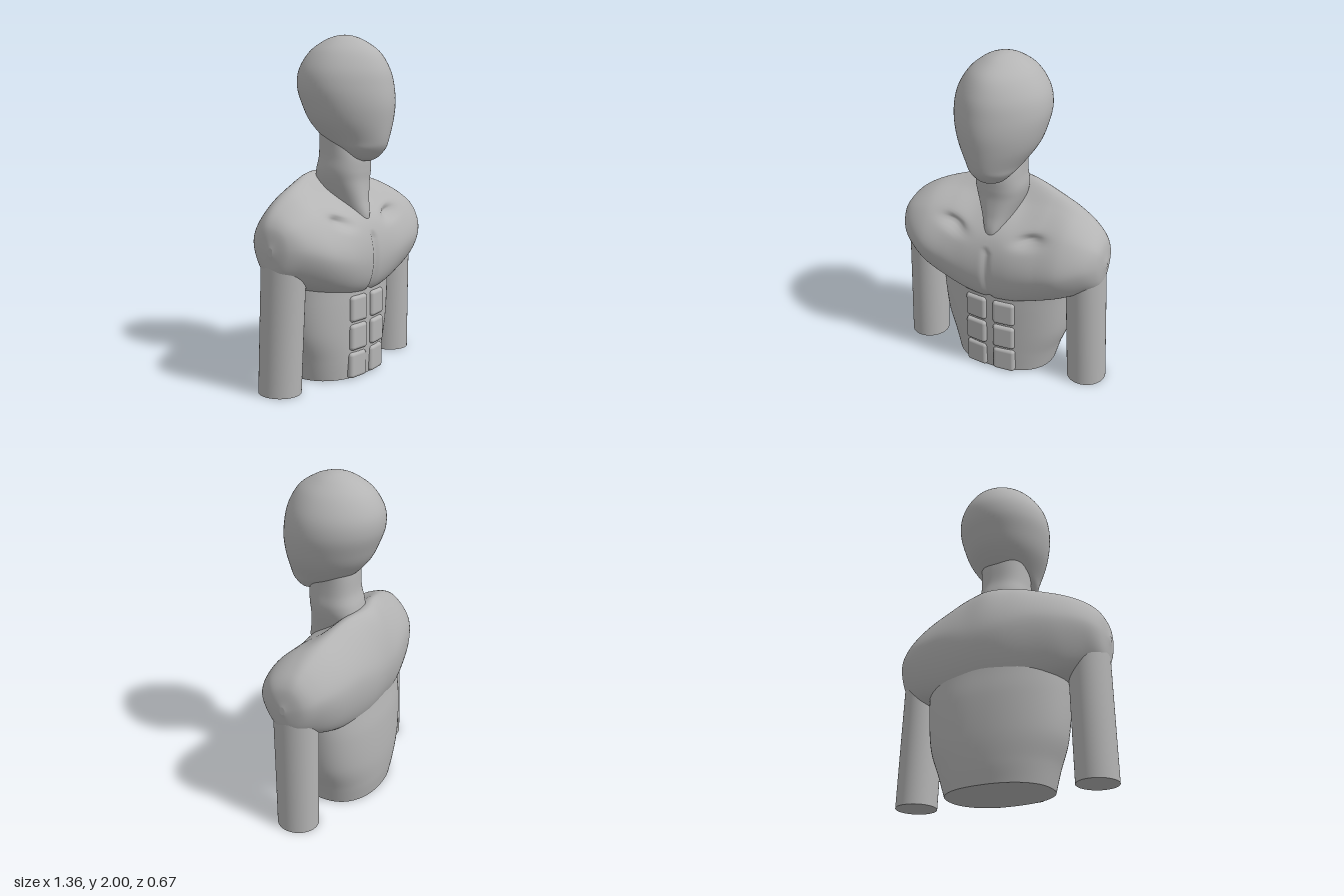
import * as THREE from 'three';
import { RoundedBoxGeometry } from 'three/addons/geometries/RoundedBoxGeometry.js';

const clay = new THREE.MeshStandardMaterial({ color: 0xb4b4b4 });
clay.name = 'grey clay';

// Smoothly resample a list of number rows into steps + 1 rows.
function resample(rows, steps) {
  const size = rows[0].length;
  const curve = new THREE.CubicInterpolant(rows.map((_, i) => i), rows.flat(), size, new Float32Array(size));
  return Array.from({ length: steps + 1 }, (_, i) =>
    Array.from(curve.evaluate((i / steps) * (rows.length - 1))));
}

// Skin closed rings of Vector3 and cap both ends with crisp edges.
function skin(rings) {
  const n = rings[0].length, positions = [], index = [];
  const push = (p) => positions.push(p.x, p.y, p.z) / 3 - 1;
  rings.forEach((ring) => ring.forEach(push));
  for (let i = 0; i < rings.length - 1; i++) {
    for (let j = 0; j < n; j++) {
      const k = (j + 1) % n, a = i * n, b = a + n;
      index.push(a + j, b + j, a + k, b + j, b + k, a + k);
    }
  }
  [rings[0], rings[rings.length - 1]].forEach((ring, end) => {
    const middle = ring.reduce((s, p) => s.add(p), new THREE.Vector3()).divideScalar(n);
    const c = push(middle), first = c + 1;
    ring.forEach(push);
    for (let j = 0; j < n; j++) {
      const k = (j + 1) % n;
      index.push(c, first + (end ? k : j), first + (end ? j : k));
    }
  });
  const geometry = new THREE.BufferGeometry();
  geometry.setAttribute('position', new THREE.Float32BufferAttribute(positions, 3));
  geometry.setIndex(index);
  geometry.computeVertexNormals();
  return geometry;
}

// Upright loft; each row is [y, half width, front z, back z].
function uprightLoft(rows, power = 2, frontTaper = 0, sides = 64) {
  const bend = (v) => Math.sign(v) * Math.pow(Math.abs(v), 2 / power);
  return skin(resample(rows, 60).map(([y, w, front, back]) =>
    Array.from({ length: sides }, (_, j) => {
      const a = (j / sides) * Math.PI * 2;
      const s = bend(Math.sin(a)), taper = 1 - frontTaper * Math.max(0, s) ** 2;
      return new THREE.Vector3(w * bend(Math.cos(a)) * taper, y, (front + back) / 2 + s * (front - back) / 2);
    })));
}

// Shoulder girdle, lofted from side to side; each row is x, then eight z, y
// points running bottom, front, top, back.
function chestGeometry() {
  const half = [
    [0, 0, .5, .19, .515, .252, .68, .2, .92, -.02, 1.12, -.19, 1.2, -.335, .88, -.25, .58],
    [.15, 0, .5, .19, .53, .258, .7, .2, .92, 0, 1.09, -.15, 1.195, -.325, .9, -.25, .58],
    [.3, 0, .53, .18, .57, .258, .74, .17, .96, 0, 1.1, -.12, 1.155, -.295, .92, -.23, .6],
    [.45, 0, .58, .16, .62, .248, .78, .16, .98, .02, 1.08, -.1, 1.1, -.255, .9, -.19, .63],
    [.57, 0, .62, .12, .68, .19, .82, .13, .96, 0, 1.03, -.08, 1.03, -.195, .88, -.13, .68],
    [.64, 0, .67, .07, .72, .11, .83, .08, .92, 0, .955, -.06, .95, -.125, .85, -.08, .72],
    [.667, 0, .795, .01, .8, .016, .82, .01, .84, 0, .845, -.01, .84, -.018, .82, -.01, .8],
  ];
  const rows = [...half.slice(1).reverse().map(([x, ...rest]) => [-x, ...rest]), ...half];
  return skin(resample(rows, 144).map(([x, ...zy]) => {
    const points = [];
    for (let i = 0; i < zy.length; i += 2) points.push(new THREE.Vector3(x, zy[i + 1], zy[i]));
    const ring = new THREE.CatmullRomCurve3(points, true, 'centripetal').getPoints(96).slice(0, 96);
    ring.forEach((p) => {
      const onFront = THREE.MathUtils.smoothstep(p.z, .02, .14);
      // collarbone hollows and breastbone groove
      const hollow = .05 * Math.exp(-(((Math.abs(x) - .25) / .08) ** 2)
        - ((p.y - .945 + (.25 - Math.abs(x)) * .2) / .03) ** 2);
      const groove = .015 * Math.exp(-((x / .022) ** 2)) * (p.y < .85 ? 1 : 0);
      p.z -= onFront * (hollow + groove);
    });
    return ring;
  }));
}

export function createModel() {
  const model = new THREE.Group();
  model.name = 'bust';
  const add = (name, geometry) => {
    const mesh = new THREE.Mesh(geometry, clay);
    mesh.name = name;
    model.add(mesh);
    return mesh;
  };

  // Egg-shaped head, turned slightly to its right
  const head = add('head', uprightLoft([
    [1.278, .03, .205, .14], [1.3, .085, .245, .1], [1.35, .135, .29, .02],
    [1.4, .17, .31, -.09], [1.5, .232, .327, -.185], [1.6, .265, .335, -.235],
    [1.7, .278, .325, -.268], [1.8, .258, .3, -.262], [1.9, .195, .24, -.205],
    [1.965, .115, .145, -.115], [1.993, .05, .07, -.04], [2, .003, .018, .012],
  ], 2, .15));
  head.rotation.y = -.06;
  head.position.x = .01;

  // Neck narrowing towards the breastbone
  add('neck', uprightLoft([
    [.85, .04, .17, -.1], [.95, .065, .19, -.12], [1.05, .1, .175, -.14], [1.15, .135, .165, -.15],
    [1.22, .148, .168, -.14], [1.3, .144, .168, -.12], [1.4, .144, .15, -.115], [1.5, .15, .14, -.11],
  ], 2.5));

  add('chestAndShoulders', chestGeometry());

  add('torso', uprightLoft([
    [0, .315, .18, -.3], [.12, .35, .188, -.32], [.28, .405, .19, -.33], [.5, .43, .19, -.322],
    [.68, .435, .18, -.298], [.85, .4, .1, -.29], [.95, .3, .05, -.25],
  ], 2.25));

  for (const side of [-1, 1]) {
    const label = side > 0 ? 'left' : 'right';
    // Upper arm, cut flat at the bottom
    add(label + 'Arm', uprightLoft([
      [0, .118, .1, -.15], [.4, .118, .112, -.147], [.8, .118, .125, -.143],
    ])).position.x = side * .563;
    const arm = model.children[model.children.length - 1].geometry.attributes.position;
    for (let i = 0; i < arm.count; i++) arm.setX(i, arm.getX(i) - side * .035 * arm.getY(i));

    // Three abdominal pads per side
    for (let row = 0; row < 3; row++) {
      const pad = add(label + 'AbdominalPad', new RoundedBoxGeometry(.142, .156, .06, 4, .022));
      pad.position.set(side * .092, .08 + row * .17, .168 + (row ? .007 : 0));
      pad.rotation.y = side * .1;
    }
  }
  return model;
}
